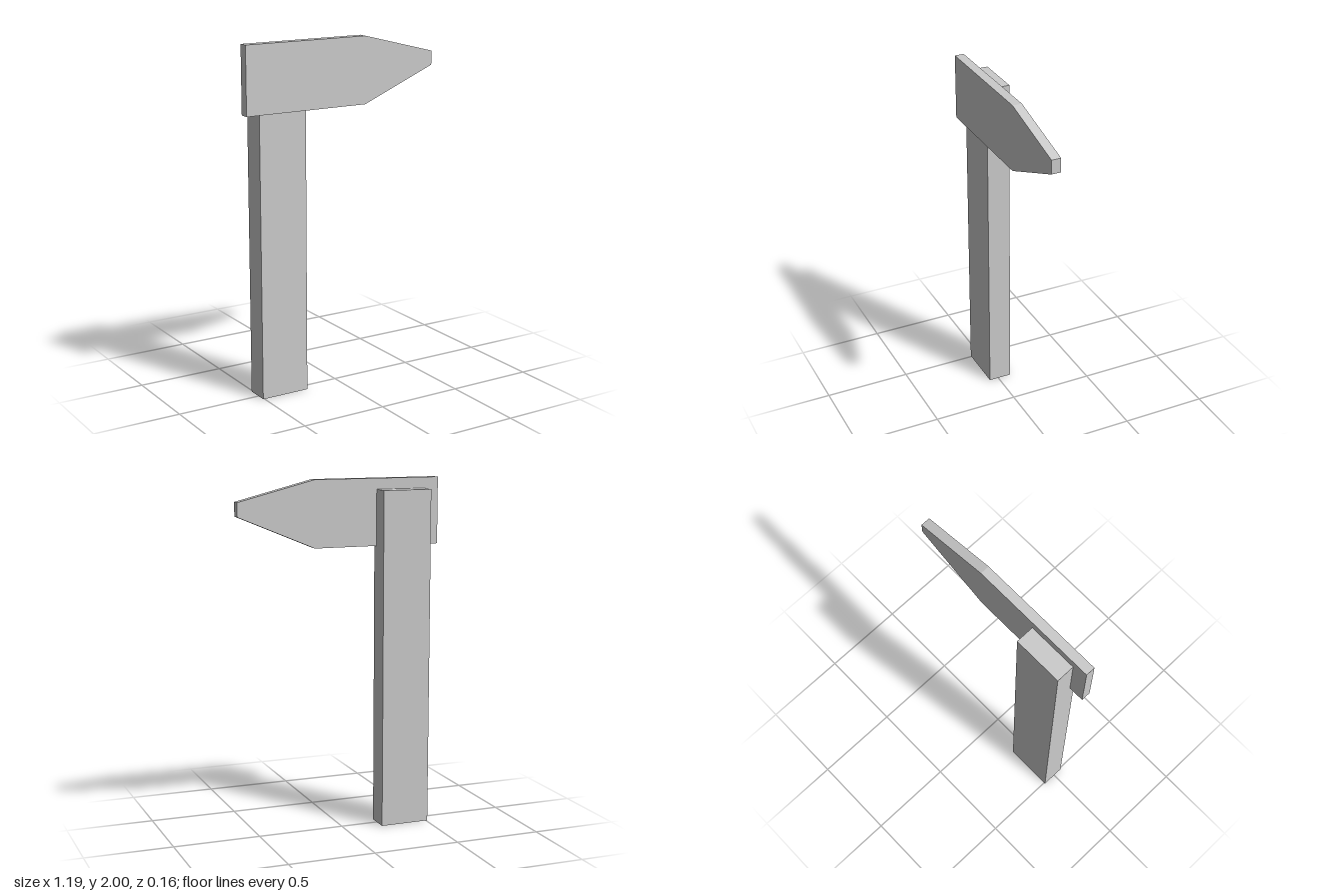
import * as THREE from 'three';

export function createModel() {
  const model = new THREE.Group();
  model.name = 'signpost';
  const material = new THREE.MeshStandardMaterial({ color: 0xcccccc, flatShading: true });

  // Upright post, let partway into the back of the board
  const post = new THREE.Mesh(new THREE.BoxGeometry(0.288, 1.938, 0.136), material);
  post.name = 'post';
  post.position.set(-0.364, 0.969, -0.012);
  model.add(post);

  // Pointed board: outline extruded along z
  const outline = new THREE.Shape([
    [-0.597, 1.62], [0.15, 1.62], [0.597, 1.807],
    [0.597, 1.887], [0.15, 2], [-0.597, 2],
  ].map(([x, y]) => new THREE.Vector2(x, y)));
  const board = new THREE.Mesh(
    new THREE.ExtrudeGeometry(outline, { depth: 0.054, bevelEnabled: false }), material);
  board.name = 'pointedBoard';
  board.position.z = 0.025;
  model.add(board);

  return model;
}
